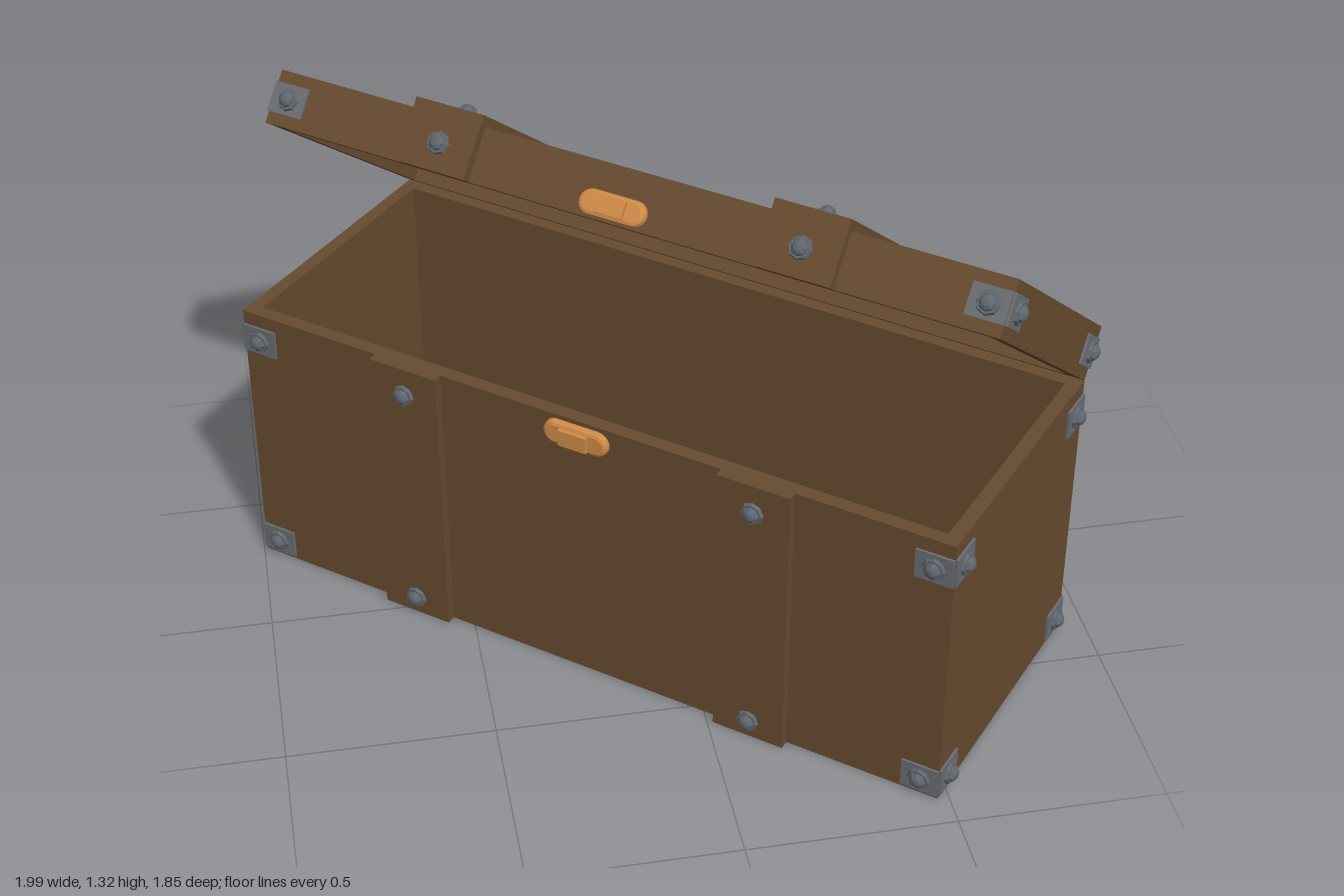
import * as THREE from 'three';

const W = 1.91, D = 0.73, H = 0.737, LID = 0.133, WALL = 0.035;
const STRAP_X = 0.47, STRAP_W = 0.186, STRAP_T = 0.024;

const mat = (name, color) => {
  const m = new THREE.MeshStandardMaterial({ color, flatShading: true });
  m.name = name;
  return m;
};

export function createModel() {
  const wood = mat('brown wood', 0x664b2f);
  const iron = mat('grey iron', 0x6a6d71);
  const bolt = mat('dark steel', 0x5f666e);
  const brass = mat('brass', 0xd08c48);

  const add = (parent, name, geo, material, x = 0, y = 0, z = 0) => {
    const m = new THREE.Mesh(geo, material);
    m.name = name;
    m.position.set(x, y, z);
    parent.add(m);
    return m;
  };
  const box = (parent, name, w, h, d, x, y, z) =>
    add(parent, name, new THREE.BoxGeometry(w, h, d), wood, x, y, z);

  // Four walls in one piece, standing from y0 to y0 + h
  const walls = (parent, name, y0, h) => {
    const rect = (P, w, d) => new P([
      new THREE.Vector2(-w, -d), new THREE.Vector2(w, -d),
      new THREE.Vector2(w, d), new THREE.Vector2(-w, d)]);
    const s = rect(THREE.Shape, W / 2, D / 2);
    s.holes.push(rect(THREE.Path, W / 2 - WALL, D / 2 - WALL));
    const g = new THREE.ExtrudeGeometry(s, { depth: h, bevelEnabled: false });
    g.rotateX(-Math.PI / 2);
    add(parent, name, g, wood, 0, y0, 0);
  };

  // Round-headed bolt, with or without a corner plate, facing local +z
  const domeGeo = new THREE.SphereGeometry(0.021, 8, 3, 0, Math.PI * 2, 0, Math.PI / 2)
    .rotateX(Math.PI / 2).scale(1, 1, 0.75);
  const collarGeo = new THREE.CylinderGeometry(0.026, 0.029, 0.008, 8).rotateX(Math.PI / 2);
  const plateGeo = new THREE.BoxGeometry(0.093, 0.075, 0.008);
  const fitting = (parent, name, x, y, z, ry, rx, plated) => {
    const f = new THREE.Group();
    f.name = name;
    f.position.set(x, y, z);
    f.rotation.set(rx, ry, 0);
    if (plated) add(f, 'cornerPlate', plateGeo, iron, 0, 0, 0.002);
    const base = plated ? 0.006 : 0;
    add(f, 'boltCollar', collarGeo, bolt, 0, 0, base + 0.004);
    add(f, 'boltHead', domeGeo, bolt, 0, 0, base + 0.007);
    parent.add(f);
  };

  // Plated bolts at every upright corner, on both faces that meet there
  const cornerRow = (parent, y) => {
    for (const sx of [-1, 1]) for (const sz of [-1, 1]) {
      fitting(parent, 'cornerFitting', sx * (W / 2 - 0.047), y, sz * D / 2, sz > 0 ? 0 : Math.PI, 0, true);
      fitting(parent, 'cornerFitting', sx * W / 2, y, sz * (D / 2 - 0.047), sx * Math.PI / 2, 0, true);
    }
  };

  // Rounded brass clasp with a raised middle
  const latch = (parent, name, y) => {
    const s = new THREE.Shape();
    const a = 0.055, r = 0.022;
    s.absarc(a, 0, r, -Math.PI / 2, Math.PI / 2, false);
    s.absarc(-a, 0, r, Math.PI / 2, Math.PI * 1.5, false);
    const g = new THREE.ExtrudeGeometry(s, {
      depth: 0.008, bevelSize: 0.009, bevelThickness: 0.01, bevelSegments: 2, curveSegments: 5 });
    add(parent, name, g, brass, 0, y, D / 2);
    add(parent, name + 'Block', new THREE.BoxGeometry(0.075, 0.042, 0.03), brass, 0, y, D / 2 + 0.014);
  };

  const chest = new THREE.Group();
  chest.name = 'chest';
  chest.position.set(-0.025, 0, 0.025);
  chest.rotation.y = THREE.MathUtils.degToRad(-40);

  // Body
  const body = new THREE.Group();
  body.name = 'body';
  chest.add(body);
  walls(body, 'bodyWalls', 0, H);
  box(body, 'bodyFloor', W - 2 * WALL, 0.032, D - 2 * WALL, 0, 0.016, 0);
  for (const y of [0.047, 0.663]) cornerRow(body, y);
  for (const s of [-1, 1]) {
    box(body, 'bodyStrap', STRAP_W, H, STRAP_T, s * STRAP_X, H / 2, D / 2 + STRAP_T / 2);
    for (const y of [0.047, 0.663])
      fitting(body, 'strapBolt', s * STRAP_X, y, D / 2 + STRAP_T, 0, 0, false);
  }
  latch(body, 'bodyLatch', H - 0.042);

  // Lid, swung open on the back top edge
  const hinge = new THREE.Group();
  hinge.name = 'lidHinge';
  hinge.position.set(0, H, -D / 2);
  hinge.rotation.x = THREE.MathUtils.degToRad(-38);
  chest.add(hinge);
  const lid = new THREE.Group();
  lid.name = 'lid';
  lid.position.z = D / 2;
  hinge.add(lid);
  const top = 0.042;
  walls(lid, 'lidWalls', 0, LID - top);
  box(lid, 'lidTop', W, top, D, 0, LID - top / 2, 0);
  cornerRow(lid, LID / 2);
  for (const s of [-1, 1]) {
    const x = s * STRAP_X;
    box(lid, 'lidTopStrap', STRAP_W, STRAP_T, D + STRAP_T, x, LID + STRAP_T / 2, STRAP_T / 2);
    box(lid, 'lidFrontStrap', STRAP_W, LID, STRAP_T, x, LID / 2, D / 2 + STRAP_T / 2);
    fitting(lid, 'strapBolt', x, LID / 2, D / 2 + STRAP_T, 0, 0, false);
    for (const z of [-0.3, 0.3])
      fitting(lid, 'strapBolt', x, LID + STRAP_T, z, 0, -Math.PI / 2, false);
  }
  latch(lid, 'lidLatch', 0.036);

  const model = new THREE.Group();
  model.name = 'openChest';
  model.add(chest);
  return model;
}
